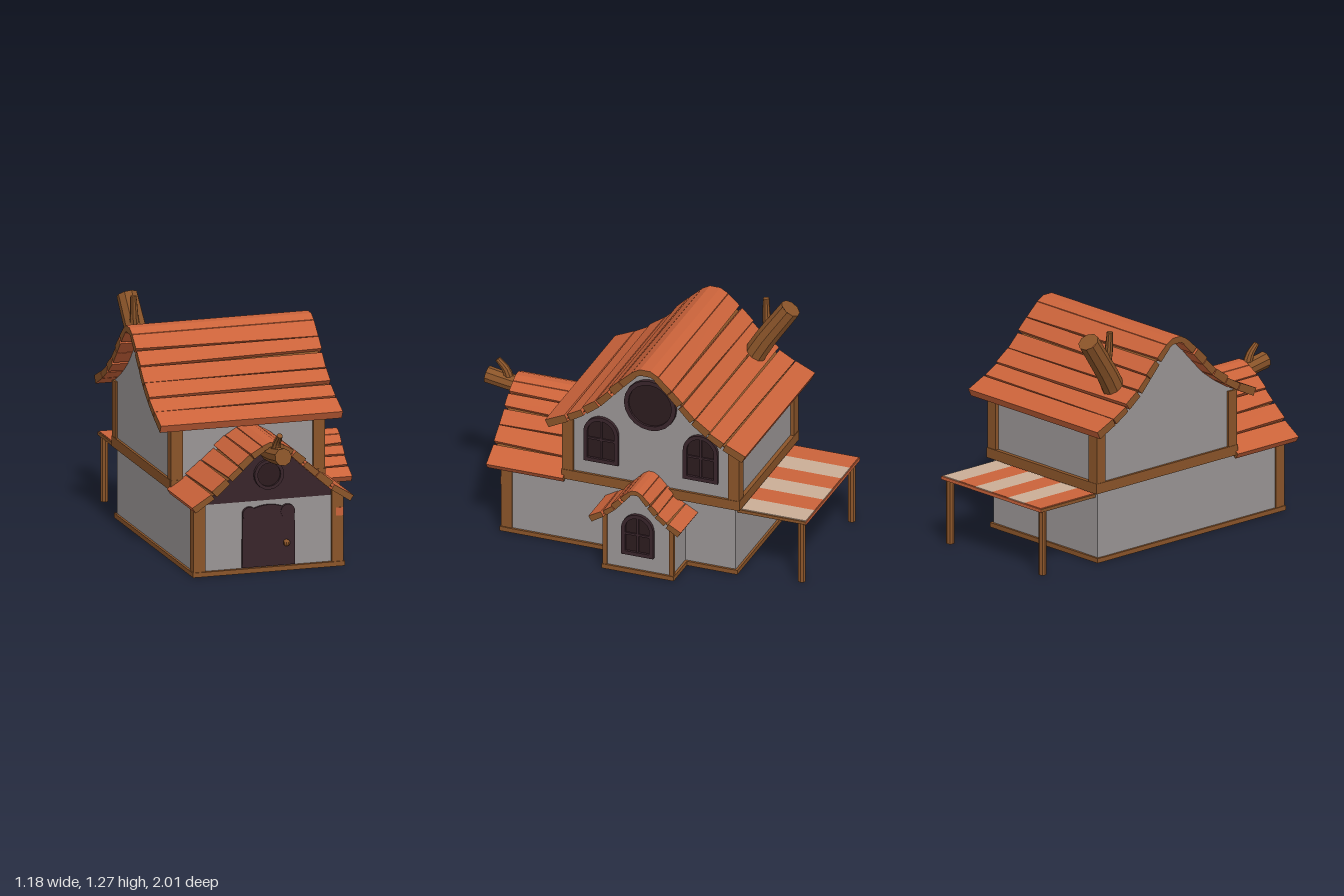
import * as THREE from 'three';

const mat = (name, color, side = THREE.FrontSide) => {
  const m = new THREE.MeshStandardMaterial({ color, side, flatShading: true });
  m.name = name;
  return m;
};

export function createModel() {
  const wall = mat('plaster grey', 0x9a9595, THREE.DoubleSide);
  const wood = mat('timber brown', 0x8a5429);
  const tile = mat('roof orange', 0xcb633a);
  const dark = mat('dark wood', 0x38242a, THREE.DoubleSide);
  const pane = mat('dark pane', 0x2c1b1e, THREE.DoubleSide);
  const cream = mat('awning cream', 0xcbae96);

  const house = new THREE.Group();
  house.name = 'house';
  let seed = 7;
  const rand = () => (seed = (seed * 16807) % 2147483647) / 2147483647;

  const add = (parent, name, geo, material, x = 0, y = 0, z = 0) => {
    const m = new THREE.Mesh(geo, material);
    m.name = name;
    m.position.set(x, y, z);
    parent.add(m);
    return m;
  };
  // box given by its minimum and maximum corners
  const box = (parent, name, material, x0, x1, y0, y1, z0, z1) =>
    add(parent, name, new THREE.BoxGeometry(x1 - x0, y1 - y0, z1 - z0), material,
      (x0 + x1) / 2, (y0 + y1) / 2, (z0 + z1) / 2);
  const poly = pts => new THREE.Shape(pts.map(p => new THREE.Vector2(p[0], p[1])));
  const extrude = (shape, depth) => new THREE.ExtrudeGeometry(shape, { depth, bevelEnabled: false, curveSegments: 10 });
  const mirrored = pts => [...pts.map(([x, y]) => [-x, y]).reverse(), ...pts];
  const section = (name, x = 0, z = 0, turn = 0) => {
    const g = new THREE.Group();
    g.name = name;
    g.position.set(x, 0, z);
    g.rotation.y = turn;
    house.add(g);
    return g;
  };

  // plank roof: ridge along local z, profile = top surface from ridge to eave
  function roof(parent, profile, t, z0, z1) {
    const len = z1 - z0;
    const band = (pts, top, bottom) => poly([
      ...mirrored(pts.map(([x, y]) => [x, y - top])),
      ...mirrored(pts.map(([x, y]) => [x, y - bottom])).reverse()]);
    add(parent, 'ridgeCap', extrude(band(profile.slice(0, 2), 0, t), len), [wood, tile], 0, 0, z0);
    add(parent, 'roofLining', extrude(band(profile.slice(0, -1), t * 0.65, t * 0.8), len - 0.03), wood, 0, 0, z0 + 0.015);
    for (const s of [-1, 1]) for (let i = 1; i < profile.length - 1; i++) {
      const a = new THREE.Vector2(s * profile[i][0], profile[i][1]);
      const b = new THREE.Vector2(s * profile[i + 1][0], profile[i + 1][1]);
      const dir = b.clone().sub(a), w = dir.length();
      dir.divideScalar(w);
      const n = new THREE.Vector2(-dir.y * s, dir.x * s);
      const lift = i % 2 ? 0 : 0.006;
      const at = (u, v) => {
        const p = a.clone().addScaledVector(dir, u).addScaledVector(n, v);
        return [p.x, p.y];
      };
      const geo = extrude(poly([at(0.004, lift), at(w, lift + 0.004), at(w, -t), at(0.004, -t)]), len);
      // each plank narrows a little toward one end
      const pos = geo.attributes.position, last = i === profile.length - 2;
      const cut = last ? 0 : 0.004 + rand() * 0.012, end = rand() > 0.5;
      for (let k = 0; k < pos.count; k++) {
        const u = (pos.getX(k) - a.x) * dir.x + (pos.getY(k) - a.y) * dir.y;
        if (u > w / 2 && (pos.getZ(k) > len / 2) === end)
          pos.setXY(k, pos.getX(k) - dir.x * cut, pos.getY(k) - dir.y * cut);
      }
      geo.computeVertexNormals();
      add(parent, 'roofPlank', geo, [wood, tile], 0, 0, z0);
    }
  }

  // gable sheet that fills the space below a roof profile
  function gable(parent, name, material, profile, half, y0, drop, z) {
    const top = [];
    for (let i = 0; i < profile.length; i++) {
      const [x, y] = profile[i];
      if (x < half) { top.push([x, y - drop]); continue; }
      const [px, py] = profile[i - 1];
      top.push([half, py + (y - py) * (half - px) / (x - px) - drop]);
      break;
    }
    add(parent, name, new THREE.ShapeGeometry(poly([[-half, y0], ...mirrored(top), [half, y0]])), material, 0, 0, z);
  }

  const archPath = (w, h, P = THREE.Shape) => {
    const s = new P(), r = w / 2;
    s.moveTo(-r, 0);
    s.lineTo(r, 0);
    s.lineTo(r, h - r);
    s.absarc(0, h - r, r, 0, Math.PI, false);
    s.lineTo(-r, 0);
    return s;
  };
  function archWindow(parent, x, y, w, h, z) {
    const g = new THREE.Group();
    g.name = 'archedWindow';
    g.position.set(x, y, z);
    parent.add(g);
    const frame = archPath(w, h), e = 0.022;
    const hole = archPath(w - 2 * e, h - 2 * e, THREE.Path);
    frame.holes.push(new THREE.Path(hole.getPoints(10).map(p => new THREE.Vector2(p.x, p.y + e))));
    add(g, 'windowFrame', extrude(frame, 0.02), dark);
    add(g, 'windowPane', extrude(archPath(w - e, h - e), 0.006), pane, 0, e / 2, 0);
    box(g, 'windowBar', dark, -0.006, 0.006, e, h - e, 0.004, 0.014);
    box(g, 'windowBar', dark, -w / 2 + e, w / 2 - e, h * 0.48, h * 0.48 + 0.012, 0.004, 0.014);
  }
  function roundWindow(parent, x, y, r, inner, z) {
    const ring = new THREE.Shape().absarc(0, 0, r, 0, Math.PI * 2);
    ring.holes.push(new THREE.Path().absarc(0, 0, inner, 0, Math.PI * 2));
    add(parent, 'roundWindowFrame', extrude(ring, 0.022), dark, x, y, z);
    add(parent, 'roundWindowPane', new THREE.CircleGeometry(inner + 0.005, 20), pane, x, y, z + 0.01);
  }

  // tapered log with a flat sawn end
  function limb(name, pts, r0, r1) {
    const curve = new THREE.CatmullRomCurve3(pts.map(p => new THREE.Vector3(...p)));
    const geo = new THREE.TubeGeometry(curve, 6, 1, 9);
    const pos = geo.attributes.position, v = new THREE.Vector3();
    for (let i = 0; i < pos.count; i++) {
      const u = Math.floor(i / 10) / 6, c = curve.getPointAt(u);
      v.fromBufferAttribute(pos, i).sub(c).multiplyScalar(r0 + (r1 - r0) * u).add(c);
      pos.setXYZ(i, v.x, v.y, v.z);
    }
    geo.computeVertexNormals();
    add(house, name, geo, wood);
    const cap = add(house, name + 'End', new THREE.CircleGeometry(r1, 9), wood);
    cap.position.copy(curve.getPointAt(1));
    cap.quaternion.setFromUnitVectors(new THREE.Vector3(0, 0, 1), curve.getTangentAt(1));
  }

  const mainProfile = [[0.03, 1.19], [0.075, 1.165], [0.15, 1.09], [0.215, 1.02], [0.285, 0.945], [0.37, 0.88], [0.46, 0.825], [0.575, 0.768]];
  const porchProfile = [[0.02, 0.735], [0.06, 0.718], [0.125, 0.675], [0.19, 0.615], [0.26, 0.55], [0.345, 0.475], [0.455, 0.402]];
  const bayProfile = [[0.015, 0.53], [0.045, 0.512], [0.09, 0.46], [0.13, 0.415], [0.19, 0.365], [0.262, 0.32]];

  // ground floor walls, sill beams and front posts
  const ground = section('groundFloor');
  for (const x of [-0.495, 0.335]) box(ground, 'sideWall', wall, x - 0.002, x + 0.002, 0.01, 0.42, -0.6, 0.74);
  box(ground, 'backWall', wall, -0.495, 0.335, 0.01, 0.42, -0.602, -0.598);
  box(ground, 'frontWall', wall, -0.495, 0.335, 0.01, 0.395, 0.736, 0.74);
  for (const z of [-0.615, 0.725]) box(ground, 'sillBeam', wood, -0.51, 0.35, 0, 0.026, z, z + 0.035);
  for (const x of [-0.51, 0.315]) box(ground, 'sillBeam', wood, x, x + 0.035, 0, 0.025, -0.6, 0.73);
  for (const x of [-0.505, 0.277]) box(ground, 'frontPost', wood, x, x + 0.066, 0.02, 0.42, 0.69, 0.754);
  box(ground, 'paintPatch', tile, 0.3, 0.341, 0.28, 0.325, 0.749, 0.757);

  // front gable, door and roof
  const porch = section('frontGable', -0.08);
  gable(porch, 'gablePanel', dark, porchProfile, 0.4, 0.395, 0.035, 0.742);
  roundWindow(porch, 0, 0.54, 0.083, 0.065, 0.742);
  roof(porch, porchProfile, 0.032, 0.385, 0.828);
  const door = new THREE.Shape();
  door.moveTo(-0.15, 0.03);
  door.lineTo(0.15, 0.03);
  door.lineTo(0.147, 0.32);
  door.lineTo(0.085, 0.355);
  door.quadraticCurveTo(0, 0.388, -0.085, 0.355);
  door.lineTo(-0.147, 0.32);
  add(porch, 'door', extrude(door, 0.015), dark, 0, 0, 0.738);
  for (const s of [-1, 1]) {
    const ear = new THREE.Shape().absarc(s * 0.108, 0.327, 0.04, 0, Math.PI * 2);
    add(porch, 'doorEar', extrude(ear, 0.02), dark, 0, 0, 0.738);
  }
  add(porch, 'doorKnob', new THREE.SphereGeometry(0.019, 10, 8), wood, 0.098, 0.155, 0.764);

  // upper floor: local z is the house's x
  const upper = section('upperFloor', -0.08, -0.115, Math.PI / 2);
  for (const z of [-0.425, 0.425]) gable(upper, 'upperGable', wall, mainProfile, 0.495, 0.4, 0.036, z);
  for (const x of [-0.49, 0.49]) {
    box(upper, 'upperWall', wall, x - 0.002, x + 0.002, 0.4, 0.775, -0.425, 0.425);
    box(upper, 'floorBeam', wood, x - 0.025, x + 0.025, 0.395, 0.452, -0.438, 0.438);
    for (const z of [-0.403, 0.403])
      box(upper, 'cornerPost', wood, x - 0.032 + (x > 0 ? -0.01 : 0.01), x + 0.032 + (x > 0 ? -0.01 : 0.01), 0.4, 0.765, z - 0.033, z + 0.033);
  }
  for (const z of [-0.414, 0.414]) box(upper, 'floorBeam', wood, -0.505, 0.505, 0.395, 0.452, z - 0.025, z + 0.025);
  roof(upper, mainProfile, 0.036, -0.515, 0.515);
  roundWindow(upper, 0, 0.94, 0.15, 0.125, 0.425);
  for (const x of [-0.285, 0.29]) archWindow(upper, x, 0.535, 0.2, 0.275, 0.425);

  // side bay
  const bay = section('sideBay', 0, -0.115, Math.PI / 2);
  gable(bay, 'bayGable', wall, bayProfile, 0.195, 0.01, 0.026, 0.533);
  for (const s of [-1, 1]) {
    const x = s * 0.192;
    box(bay, 'bayWall', wall, x - 0.002, x + 0.002, 0.01, 0.345, 0.335, 0.533);
    box(bay, 'bayPost', wood, x - 0.013, x + 0.013, 0, 0.345, 0.515, 0.541);
    box(bay, 'baySill', wood, x - 0.016, x + 0.016, 0, 0.025, 0.335, 0.54);
  }
  box(bay, 'baySill', wood, -0.208, 0.208, 0, 0.026, 0.515, 0.545);
  roof(bay, bayProfile, 0.026, 0.33, 0.59);
  archWindow(bay, 0, 0.115, 0.185, 0.25, 0.534);

  // striped rear awning on two posts
  const awning = section('rearAwning');
  for (let i = 0; i < 6; i++)
    box(awning, 'awningStripe', i % 2 ? cream : tile, -0.47 + i * 0.13, -0.34 + i * 0.13, 0.368, 0.384, -0.995, -0.6);
  for (const x of [-0.477, 0.31]) box(awning, 'awningEdge', wood, x, x + 0.007, 0.362, 0.38, -0.995, -0.6);
  box(awning, 'awningEdge', tile, -0.477, 0.317, 0.362, 0.38, -1.0, -0.994);
  for (const x of [-0.45, 0.285])
    add(awning, 'awningPost', new THREE.CylinderGeometry(0.022, 0.022, 0.37, 8), wood, x, 0.185, -0.963);

  // log chimney and ridge log with their side branches
  limb('chimneyLog', [[-0.41, 0.82, -0.36], [-0.42, 1.0, -0.455], [-0.435, 1.235, -0.615]], 0.064, 0.058);
  limb('chimneyBranch', [[-0.43, 1.03, -0.5], [-0.44, 1.13, -0.475], [-0.447, 1.262, -0.468]], 0.03, 0.017);
  limb('ridgeLog', [[-0.078, 0.66, 0.72], [-0.078, 0.672, 0.86], [-0.078, 0.695, 1.0]], 0.045, 0.048);
  limb('ridgeBranch', [[-0.078, 0.68, 0.87], [-0.078, 0.745, 0.89], [-0.078, 0.8, 0.94]], 0.03, 0.016);
  return house;
}
